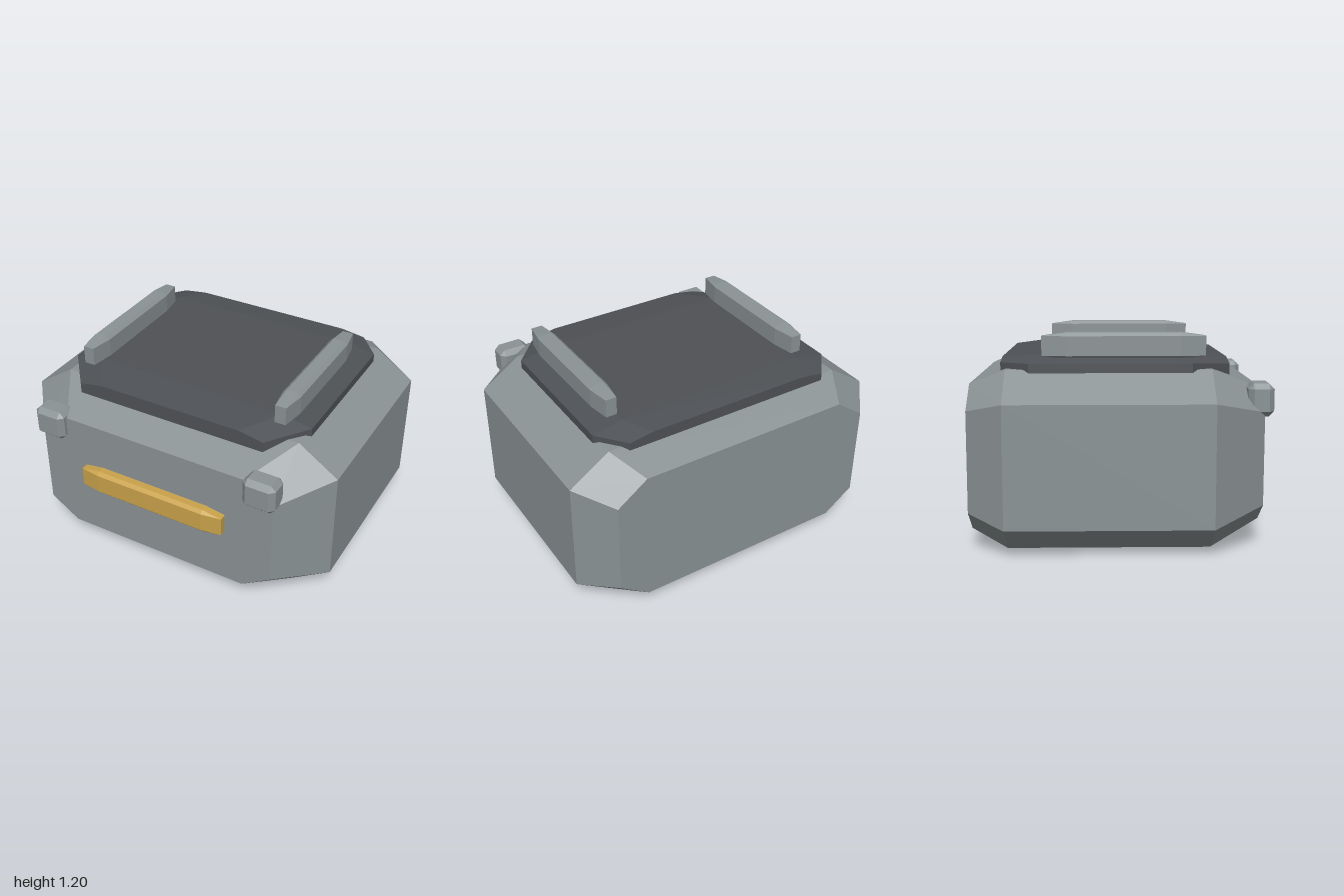
import * as THREE from 'three';
import { ConvexGeometry } from 'three/addons/geometries/ConvexGeometry.js';

const mat = (name, color) => {
  const m = new THREE.MeshStandardMaterial({ color });
  m.name = name;
  return m;
};

// Hull of [x, y, z] corners, mirrored across x and across the height yMid
function facetedShell(corners, yMid) {
  const pts = [];
  for (const [x, y, z] of corners)
    for (const sx of [-1, 1])
      for (const sy of [-1, 1]) pts.push(new THREE.Vector3(sx * x, yMid + sy * (y - yMid), z));
  return new ConvexGeometry(pts);
}

// Box with bevelled edges; a separate bevel depth along each axis
function bevelBox([w, h, d], [cx, cy, cz]) {
  const x = w / 2, y = h / 2, z = d / 2;
  const corners = [];
  for (const s of [-1, 1]) {
    corners.push([x, y - cy, s * (z - cz)], [x - cx, y, s * (z - cz)], [x - cx, y - cy, s * z]);
  }
  return facetedShell(corners, 0);
}

export function createModel() {
  const group = new THREE.Group();
  const grey = mat('grey shell', 0x8a9294);
  const dark = mat('dark lid', 0x4e5155);
  const gold = mat('gold handle', 0xc9a24a);

  const add = (name, geometry, material, x = 0, y = 0, z = 0) => {
    const mesh = new THREE.Mesh(geometry, material);
    mesh.name = name;
    mesh.position.set(x, y, z);
    group.add(mesh);
  };

  // Body with wide bevels, narrower at the front
  add('body', facetedShell([
    [1, 0.842, 0.495], [1, 0.842, -0.64],
    [0.76, 1.003, 0.495], [0.76, 1.003, -0.64],
    [0.76, 0.765, 0.79], [0.58, 0.885, 0.79],
    [0.83, 0.785, -0.85], [0.65, 0.915, -0.85],
  ], 0.5015), grey);

  // Lid plate sunk into the top
  add('lid', facetedShell([
    [0.785, 1.037, 0.385], [0.785, 1.037, -0.51],
    [0.6, 1.072, 0.385], [0.6, 1.072, -0.51],
    [0.6, 1.02, 0.61], [0.45, 1.047, 0.61],
    [0.65, 1.035, -0.675], [0.5, 1.056, -0.675],
  ], 0.985), dark);

  // Paired rails on the lid and bumpers on the front corners
  const rail = bevelBox([0.11, 0.15, 0.915], [0.022, 0.02, 0.14]);
  const bumper = bevelBox([0.198, 0.184, 0.145], [0.03, 0.03, 0.03]);
  for (const [side, s] of [['left', 1], ['right', -1]]) {
    add(side + 'Rail', rail, grey, s * 0.63, 1.125, 0.012);
    add(side + 'Bumper', bumper, grey, s * 0.685, 0.832, 0.768);
  }

  // Front handle
  add('handle', bevelBox([0.936, 0.155, 0.13], [0.12, 0.02, 0.018]), gold, 0, 0.533, 0.785);

  return group;
}
